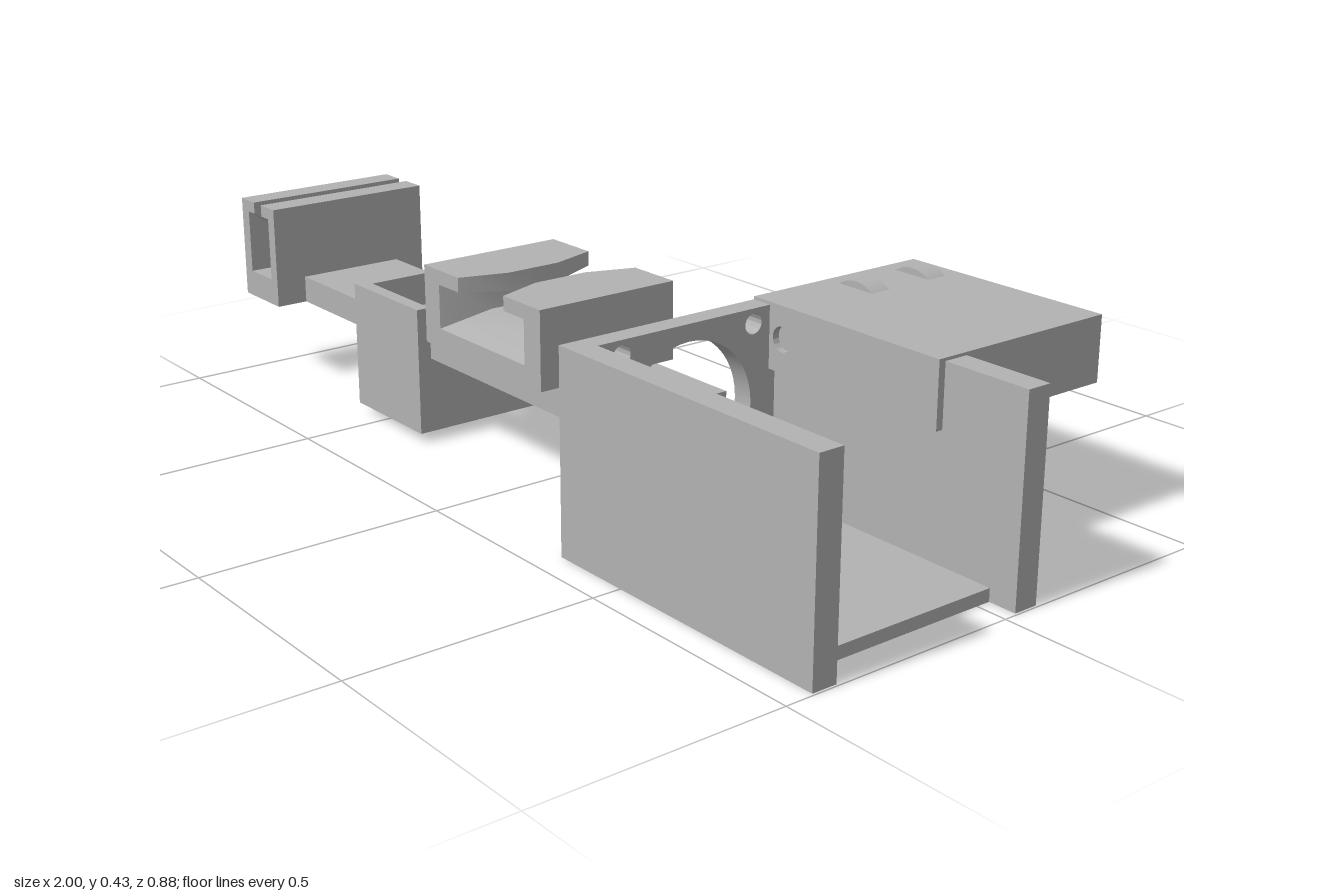
import * as THREE from 'three';
import { toCreasedNormals } from 'three/addons/utils/BufferGeometryUtils.js';

export function createModel() {
  const model = new THREE.Group();
  const grey = new THREE.MeshStandardMaterial({ color: 0xb2b2b2 });
  grey.name = 'plastic grey';

  const add = (name, geometry) => {
    const mesh = new THREE.Mesh(geometry, grey);
    mesh.name = name;
    model.add(mesh);
    return mesh;
  };

  // Box given by its limits on each axis
  const box = (name, x0, x1, y0, y1, z0, z1) => add(name,
    new THREE.BoxGeometry(x1 - x0, y1 - y0, z1 - z0)
      .translate((x0 + x1) / 2, (y0 + y1) / 2, (z0 + z1) / 2));

  const rect = (Type, x0, x1, y0, y1) => new Type([
    new THREE.Vector2(x0, y0), new THREE.Vector2(x1, y0),
    new THREE.Vector2(x1, y1), new THREE.Vector2(x0, y1)]);

  const circle = (Type, x, y, r) => new Type().absarc(x, y, r, 0, Math.PI * 2, false);

  const extrude = (shape, depth) => toCreasedNormals(
    new THREE.ExtrudeGeometry(shape, { depth, bevelEnabled: false, curveSegments: 24 }), 0.5);

  // C-shaped channel section, counter-clockwise
  const channel = (outer, inner) => {
    const [x0, x1, y0, y1] = outer;
    const [left, right, floor, ceil, slotL, slotR] = inner;
    return [[x0, y0], [x1, y0], [x1, y1], [slotR, y1], [slotR, ceil], [right, ceil],
      [right, floor], [left, floor], [left, ceil], [slotL, ceil], [slotL, y1], [x0, y1]];
  };

  // Skin sections along z and cap both ends
  const loft = (sections, zs) => {
    const positions = [];
    const index = [];
    const n = sections[0].length;
    sections.forEach((s, k) => s.forEach(([x, y]) => positions.push(x, y, zs[k])));
    for (let k = 0; k < sections.length - 1; k++) {
      for (let i = 0; i < n; i++) {
        const a = k * n + i;
        const b = k * n + (i + 1) % n;
        index.push(a, b, b + n, a, b + n, a + n);
      }
    }
    const last = (sections.length - 1) * n;
    const faces = THREE.ShapeUtils.triangulateShape(
      sections[0].map(([x, y]) => new THREE.Vector2(x, y)), []);
    for (const [a, b, c] of faces) index.push(a, c, b);
    const ends = THREE.ShapeUtils.triangulateShape(
      sections[sections.length - 1].map(([x, y]) => new THREE.Vector2(x, y)), []);
    for (const [a, b, c] of ends) index.push(last + a, last + b, last + c);
    const geometry = new THREE.BufferGeometry();
    geometry.setAttribute('position', new THREE.Float32BufferAttribute(positions, 3));
    geometry.setIndex(index);
    return toCreasedNormals(geometry, 0.5);
  };

  // Flat arm, interrupted by the square sleeve
  box('armOuter', -0.853, -0.57, 0.18, 0.238, 0.055, 0.295);
  box('armInner', -0.34, 0.33, 0.18, 0.238, 0.055, 0.295);

  // Square sleeve, open at top and bottom
  const sleeve = rect(THREE.Shape, -0.58, -0.33, -0.325, -0.03);
  sleeve.holes.push(rect(THREE.Path, -0.555, -0.355, -0.295, -0.06));
  add('sleeve', extrude(sleeve, 0.27).rotateX(-Math.PI / 2).translate(0, 0.02, 0));

  // Clip whose channel flares towards both ends
  const clipOuter = [-0.28, 0.12, 0.238, 0.4];
  const clipEnd = channel(clipOuter, [-0.227, 0.067, 0.278, 0.37, -0.157, 0]);
  const clipMid = channel(clipOuter, [-0.19, 0.03, 0.31, 0.362, -0.126, -0.035]);
  add('clip', loft([clipEnd, clipMid, clipMid, clipEnd], [0.015, 0.115, 0.235, 0.335]));

  // Slotted holder on the tip of the arm
  const holderOuter = [-1, -0.853, 0.18, 0.403];
  const holderEnd = channel(holderOuter, [-0.97, -0.88, 0.238, 0.377, -0.943, -0.911]);
  const holderMid = channel(holderOuter, [-0.97, -0.88, 0.238, 0.29, -0.943, -0.911]);
  add('tipHolder', loft([holderEnd, holderMid, holderMid, holderEnd], [-0.015, 0.115, 0.235, 0.365]));

  // Mounting plate with a fan opening and four screw holes
  const plate = rect(THREE.Shape, -0.082, 0.44, 0, 0.405);
  plate.holes.push(circle(THREE.Path, 0.18, 0.22, 0.151));
  for (const z of [0.025, 0.335]) {
    for (const y of [0.065, 0.375]) plate.holes.push(circle(THREE.Path, z, y, 0.02));
  }
  add('mountingPlate', extrude(plate, 0.045).rotateY(-Math.PI / 2).translate(0.37, 0, 0));

  // Side walls and floor, with a slit left between floor and plate
  box('frontWall', 0.365, 0.995, 0, 0.405, 0.388, 0.44);
  box('backWall', 0.365, 0.995, 0, 0.405, -0.082, -0.03);
  box('floor', 0.4, 0.935, 0, 0.026, -0.035, 0.392);

  // Head block with a bore along its length
  const axisX = 0.405;
  const axisY = 0.345;
  const block = rect(THREE.Shape, 0.325, 0.806, 0.279, 0.411);
  block.holes.push(circle(THREE.Path, axisX, axisY, 0.025));
  add('headBlock', extrude(block, 0.425).translate(0, 0, -0.44));

  // Rollers showing above and below the block
  const roller = circle(THREE.Shape, axisX, axisY, 0.08);
  roller.holes.push(circle(THREE.Path, axisX, axisY, 0.025));
  for (const z of [-0.248, -0.4]) add('roller', extrude(roller, 0.046).translate(0, 0, z));

  // Slab with a blunt cone below the block
  box('coneBase', 0.55, 0.72, 0.17, 0.205, -0.37, -0.237);
  add('cone', new THREE.CylinderGeometry(0.02, 0.066, 0.06, 32).translate(0.635, 0.235, -0.303));

  return model;
}
